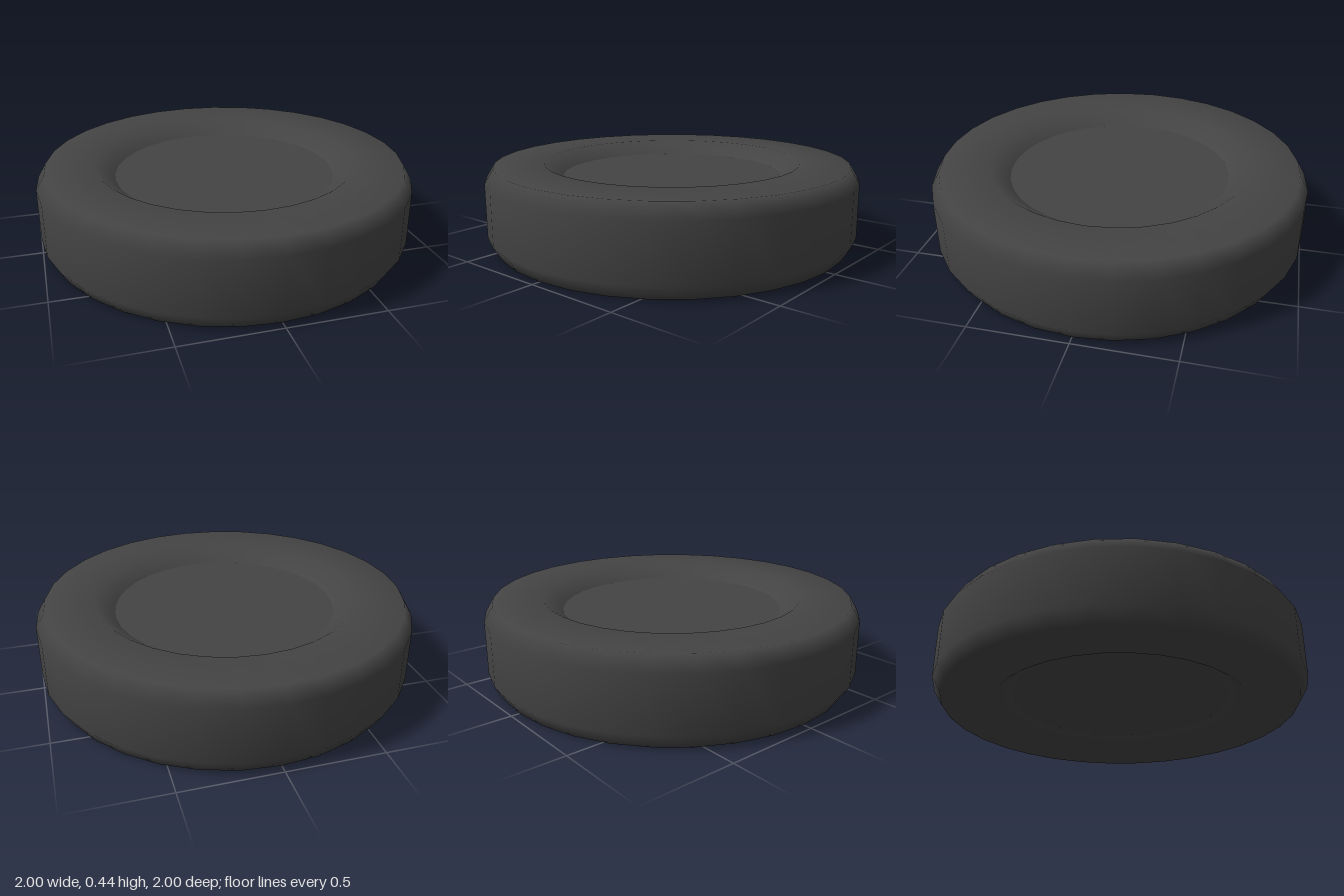
import * as THREE from 'three';

const SIDES = 32;
const HEIGHT = 0.435;
const RECESS = 0.07;
const DISC_RADIUS = 0.59;

export function createModel() {
  const group = new THREE.Group();
  group.name = 'puck';
  const material = new THREE.MeshStandardMaterial({ color: 0x444444 });

  // Rounded rim: lower half of the profile, mirrored for the upper half
  const lower = [[DISC_RADIUS, RECESS], [0.69, 0], [0.955, 0], [1, 0.075]];
  const upper = lower.map(([r, y]) => [r, HEIGHT - y]).reverse();
  const profile = [...lower, ...upper].map(([r, y]) => new THREE.Vector2(r, y));
  const rim = new THREE.Mesh(new THREE.LatheGeometry(profile, SIDES), material);
  rim.name = 'rim';
  group.add(rim);

  // Flat recessed discs closing the top and bottom
  for (const [name, y, turn] of [['topDisc', HEIGHT - RECESS, -1], ['bottomDisc', RECESS, 1]]) {
    const disc = new THREE.Mesh(new THREE.CircleGeometry(DISC_RADIUS, SIDES), material);
    disc.name = name;
    disc.rotation.x = turn * Math.PI / 2;
    disc.position.y = y;
    group.add(disc);
  }
  return group;
}
